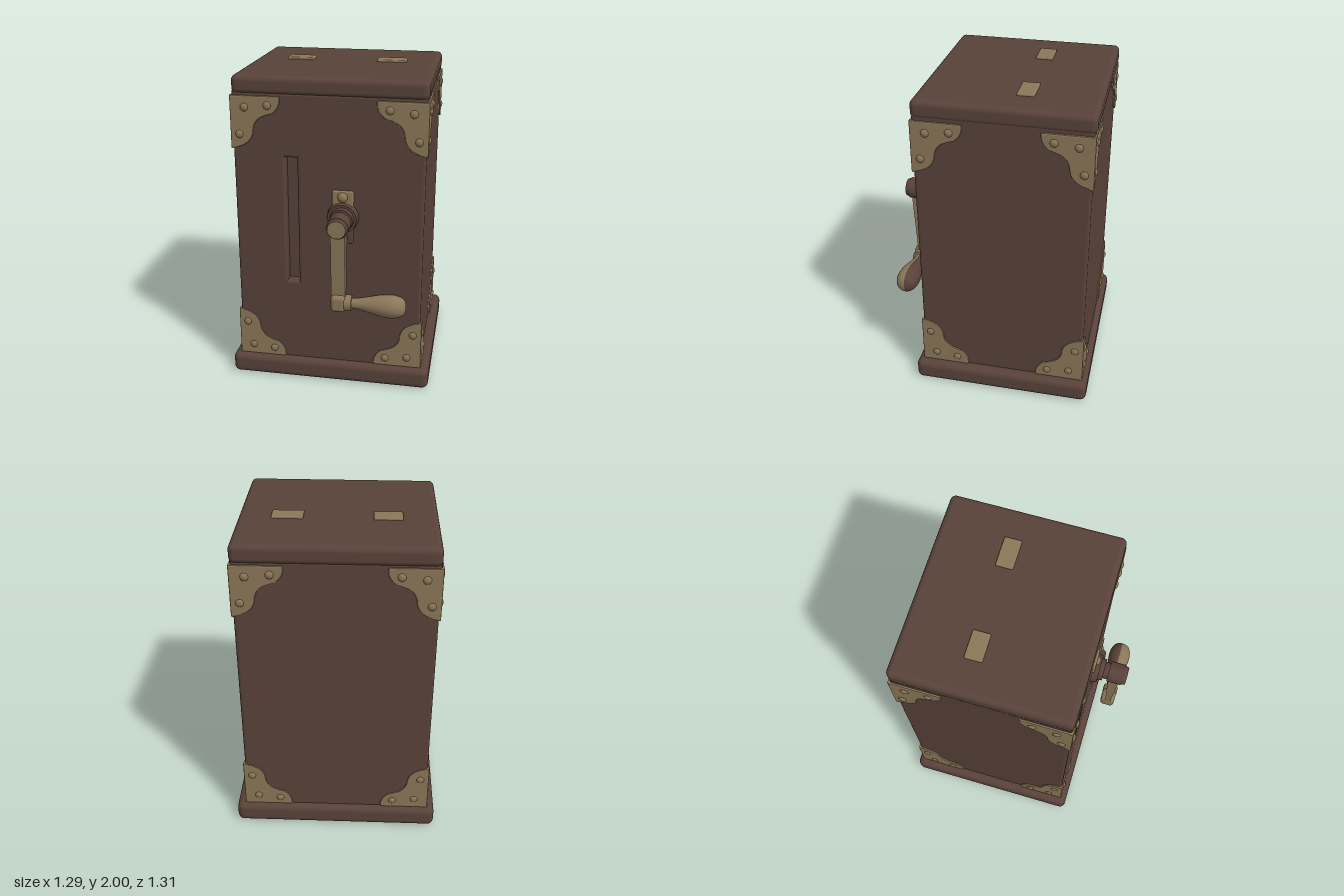
import * as THREE from 'three';
import { RoundedBoxGeometry } from 'three/addons/geometries/RoundedBoxGeometry.js';

const wood = new THREE.MeshStandardMaterial({ color: 0x59423a });
wood.name = 'dark brown wood';
const brass = new THREE.MeshStandardMaterial({ color: 0x8c7859 });
brass.name = 'aged brass';

function add(parent, name, geometry, material, x = 0, y = 0, z = 0) {
  const mesh = new THREE.Mesh(geometry, material);
  mesh.name = name;
  mesh.position.set(x, y, z);
  parent.add(mesh);
  return mesh;
}

// rounded box given by its limits
function block(parent, name, material, [x0, x1], [y0, y1], [z0, z1], r) {
  const g = new RoundedBoxGeometry(x1 - x0, y1 - y0, z1 - z0, 4, r);
  return add(parent, name, g, material, (x0 + x1) / 2, (y0 + y1) / 2, (z0 + z1) / 2);
}

function rectPoints(x0, x1, y0, y1) {
  return [[x0, y0], [x1, y0], [x1, y1], [x0, y1]].map(p => new THREE.Vector2(...p));
}

// bevelled slab in the xy plane spanning z0..z1, with an optional hole
function slab(parent, name, z0, z1, hole) {
  const b = 0.018;
  const shape = new THREE.Shape(rectPoints(-0.588 + b, 0.58 - b, 0.1, 1.875));
  if (hole) shape.holes.push(new THREE.Path(hole.reverse()));
  const g = new THREE.ExtrudeGeometry(shape, {
    depth: z1 - z0 - 2 * b, bevelThickness: b, bevelSize: b, bevelSegments: 3,
  });
  add(parent, name, g, wood, 0, 0, z0 + b);
}

// corner plate: its corner is at the origin, arms run along +x and +y
function cornerPlateGeometry() {
  const s = new THREE.Shape();
  s.moveTo(0, 0);
  s.lineTo(0.305, 0);
  s.quadraticCurveTo(0.315, 0.06, 0.26, 0.105);
  s.quadraticCurveTo(0.22, 0.115, 0.19, 0.13);
  s.quadraticCurveTo(0.145, 0.155, 0.14, 0.21);
  s.quadraticCurveTo(0.14, 0.25, 0.105, 0.285);
  s.quadraticCurveTo(0.06, 0.32, 0, 0.325);
  s.closePath();
  return new THREE.ExtrudeGeometry(s, {
    depth: 0.012, bevelThickness: 0.008, bevelSize: 0.008,
    bevelOffset: -0.008, bevelSegments: 2, curveSegments: 6,
  });
}

// one face's four corner plates, in a frame where the face looks along +z
function faceCorners(parent, name, width) {
  const face = new THREE.Group();
  face.name = name;
  const plate = cornerPlateGeometry();
  const mirrored = plate.clone().scale(-1, 1, 1);
  // swapping two corners of every triangle keeps the mirrored plate facing out
  const pos = mirrored.attributes.position, nor = mirrored.attributes.normal;
  for (const a of [pos, nor]) {
    for (let i = 0; i < a.count; i += 3) {
      const p = [a.getX(i), a.getY(i), a.getZ(i)];
      a.setXYZ(i, a.getX(i + 1), a.getY(i + 1), a.getZ(i + 1));
      a.setXYZ(i + 1, ...p);
    }
  }
  const rivet = new THREE.SphereGeometry(0.026, 12, 8).scale(1, 1, 0.6);
  for (const sx of [-1, 1]) {
    for (const top of [false, true]) {
      const corner = new THREE.Group();
      corner.name = 'cornerBracket';
      corner.position.set(sx * width / 2, top ? 1.868 : 0.132, -0.006);
      if (top) corner.rotation.z = Math.PI;
      // arms point to the middle of the face
      const dx = top ? sx : -sx;
      add(corner, 'cornerPlate', dx > 0 ? plate : mirrored, brass);
      for (const [u, v] of [[0.09, 0.07], [0.23, 0.055], [0.055, 0.235]]) {
        add(corner, 'rivet', rivet, brass, dx * u, v, 0.016);
      }
      face.add(corner);
    }
  }
  parent.add(face);
  return face;
}

// cylinder lying along z from z0 to z1, with a separate material for the front cap
function rod(parent, name, r0, r1, z0, z1, side, cap) {
  const g = new THREE.CylinderGeometry(r1, r0, z1 - z0, 28).rotateX(Math.PI / 2);
  return add(parent, name, g, [side, cap, side], 0, 0, (z0 + z1) / 2);
}

function makeCrank() {
  const crank = new THREE.Group();
  crank.name = 'crank';
  crank.position.set(0.086, 1.14, 0);

  // mounting plate with two bolts
  block(crank, 'mountPlateTop', brass, [-0.066, 0.066], [0, 0.17], [0.42, 0.447], 0.012);
  block(crank, 'mountPlateBottom', wood, [-0.066, 0.066], [-0.17, 0.01], [0.42, 0.446], 0.012);
  const bolt = new THREE.SphereGeometry(0.032, 16, 10).scale(1, 1, 0.7);
  add(crank, 'upperBolt', bolt, brass, 0, 0.13, 0.445);
  add(crank, 'lowerBolt', bolt, wood, 0, -0.13, 0.445);

  // axle and collars
  rod(crank, 'axleFlange', 0.098, 0.09, 0.43, 0.475, wood, wood);
  rod(crank, 'axleCollar', 0.075, 0.07, 0.47, 0.505, wood, wood);
  rod(crank, 'axle', 0.055, 0.055, 0.5, 0.56, wood, wood);
  rod(crank, 'hub', 0.068, 0.068, 0.535, 0.63, wood, brass);
  rod(crank, 'hubCap', 0.064, 0.055, 0.628, 0.655, wood, brass);

  // arm, thinner towards its lower end
  const arm = new THREE.BoxGeometry(0.088, 0.5, 0.075, 1, 6, 1);
  const p = arm.attributes.position;
  for (let i = 0; i < p.count; i++) {
    const t = (0.25 - p.getY(i)) / 0.5;
    p.setZ(i, p.getZ(i) * (1 - 0.6 * t));
  }
  arm.computeVertexNormals();
  add(crank, 'arm', arm, brass, 0, -0.26, 0.58);
  block(crank, 'armEnd', brass, [-0.046, 0.046], [-0.558, -0.45], [0.53, 0.625], 0.025);
  const ferrule = new THREE.CylinderGeometry(0.05, 0.05, 0.045, 24).rotateZ(Math.PI / 2);
  add(crank, 'ferrule', ferrule, brass, 0.06, -0.505, 0.578);

  // pear-shaped grip, brass on its front half
  const profile = new THREE.SplineCurve([
    [0.032, 0], [0.036, 0.05], [0.052, 0.12], [0.07, 0.2], [0.072, 0.27],
    [0.055, 0.32], [0.03, 0.336], [0, 0.341],
  ].map(q => new THREE.Vector2(...q))).getPoints(28);
  profile.forEach(q => { q.x = Math.max(q.x, 0); });
  for (const [name, start, mat] of [['gripFront', -Math.PI / 2, brass], ['gripBack', Math.PI / 2, wood]]) {
    const g = new THREE.LatheGeometry(profile, 16, start, Math.PI).rotateZ(-Math.PI / 2);
    add(crank, name, g, mat, 0.075, -0.505, 0.578);
  }
  return crank;
}

export function createModel() {
  const model = new THREE.Group();
  model.name = 'crankBox';

  // case: solid rear and a front panel with the long slot
  block(model, 'base', wood, [-0.645, 0.645], [0, 0.137], [-0.655, 0.48], 0.04);
  slab(model, 'caseBody', -0.612, 0.37);
  slab(model, 'frontPanel', 0.3, 0.432, rectPoints(-0.288, -0.178, 0.665, 1.515));
  block(model, 'lid', wood, [-0.59, 0.585], [1.872, 1.987], [-0.622, 0.438], 0.035);

  // lid inserts
  block(model, 'rightLidTab', brass, [-0.38, -0.208], [1.96, 2], [-0.24, -0.135], 0.008);
  block(model, 'leftLidTab', brass, [0.2, 0.388], [1.96, 2], [-0.24, -0.135], 0.008);

  // metal corners on all four sides
  faceCorners(model, 'frontCorners', 1.19).position.set(-0.004, 0, 0.427);
  const back = faceCorners(model, 'backCorners', 1.19);
  back.position.set(-0.004, 0, -0.607);
  back.rotation.y = Math.PI;
  const left = faceCorners(model, 'leftCorners', 1.058);
  left.position.set(0.577, 0, -0.09);
  left.rotation.y = Math.PI / 2;
  const right = faceCorners(model, 'rightCorners', 1.058);
  right.position.set(-0.585, 0, -0.09);
  right.rotation.y = -Math.PI / 2;

  model.add(makeCrank());
  return model;
}
